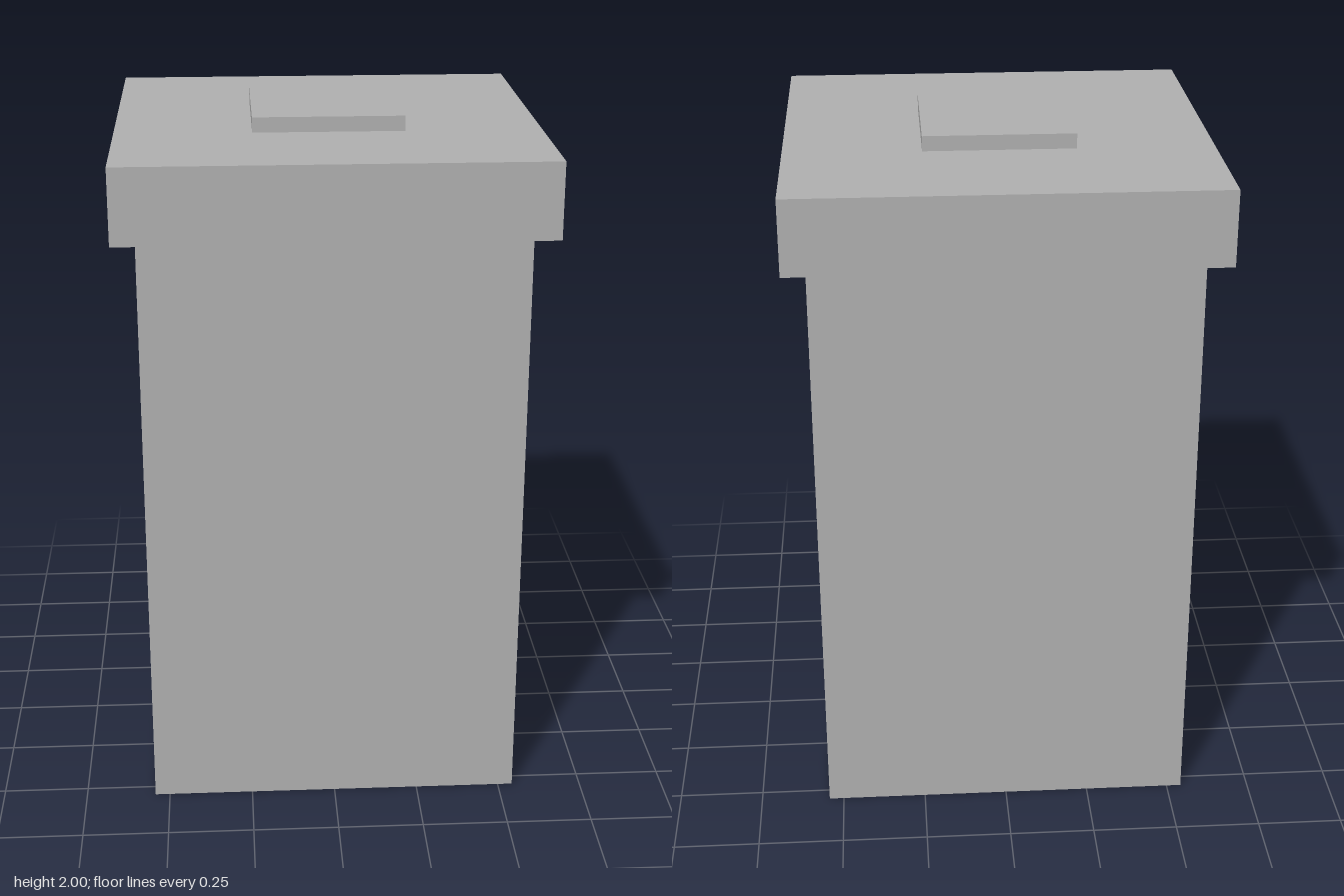
import * as THREE from 'three';

export function createModel() {
  const model = new THREE.Group();
  model.name = 'squarePillar';

  const stone = new THREE.MeshStandardMaterial({ color: 0xb2b2b2 });
  stone.name = 'stone grey';

  // One square block resting on height y
  function addBlock(name, width, height, y) {
    const block = new THREE.Mesh(new THREE.BoxGeometry(width, height, width), stone);
    block.name = name;
    block.position.y = y + height / 2;
    model.add(block);
    return y + height;
  }

  // Shaft, overhanging cap and small top plate, stacked upwards
  const unit = 2 / 46;
  const shaftTop = addBlock('shaft', 25 * unit, 40 * unit, 0);
  const capTop = addBlock('cap', 28 * unit, 5 * unit, shaftTop);
  addBlock('topPlate', 10 * unit, unit, capTop);

  return model;
}
